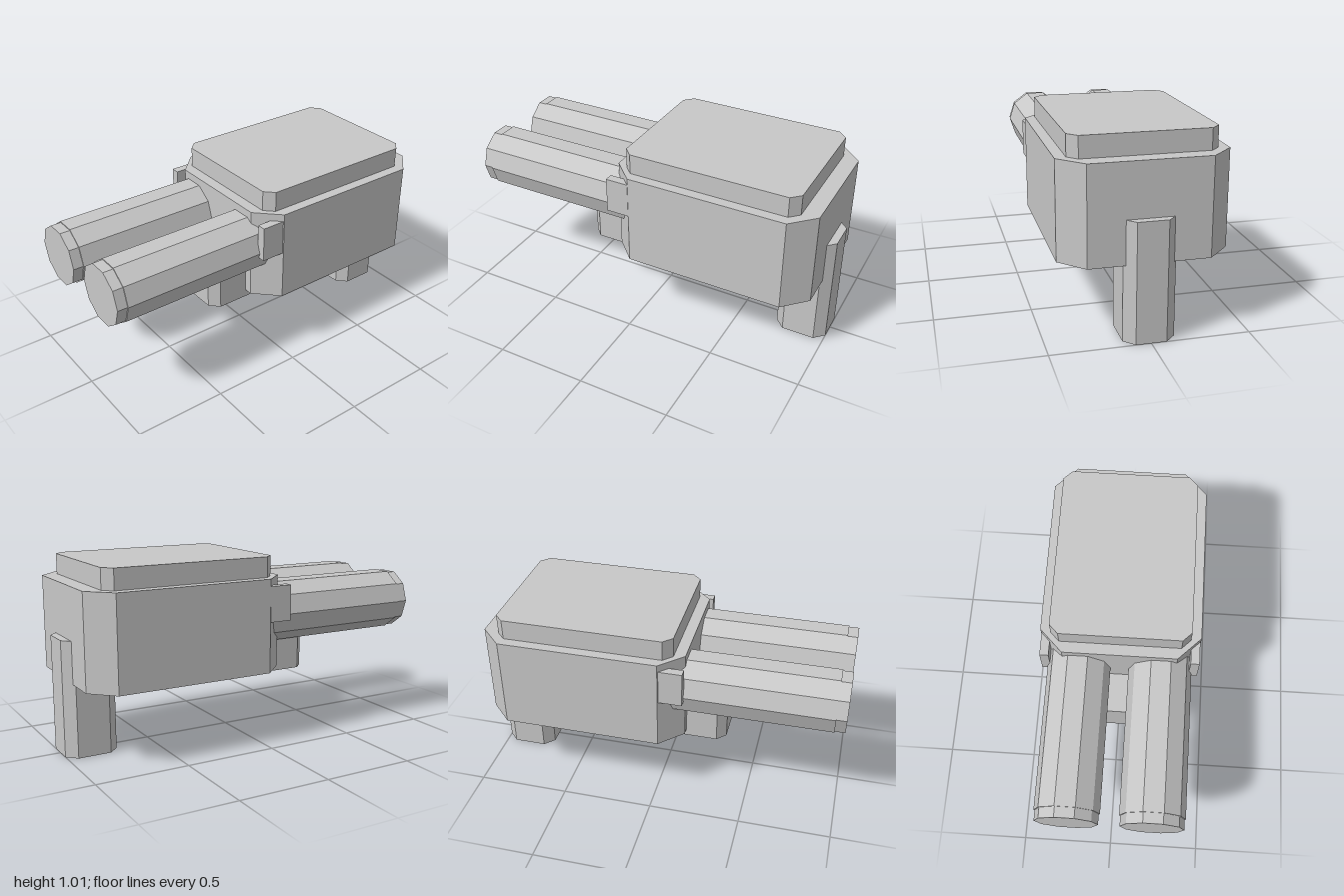
import * as THREE from 'three';

export function createModel() {
  const group = new THREE.Group();
  const grey = new THREE.MeshStandardMaterial({ color: 0xc8c8c8, flatShading: true });
  grey.name = 'plain grey';

  function add(name, geometry) {
    const mesh = new THREE.Mesh(geometry, grey);
    mesh.name = name;
    group.add(mesh);
    return mesh;
  }

  // Upright block with its four vertical edges cut off
  function chamferedBlock(name, halfX, y0, y1, zBack, zFront, cut) {
    const a = halfX, c = cut;
    const shape = new THREE.Shape([
      [a - c, -zFront], [a, -zFront + c], [a, -zBack - c], [a - c, -zBack],
      [c - a, -zBack], [-a, -zBack - c], [-a, -zFront + c], [c - a, -zFront],
    ].map(([x, y]) => new THREE.Vector2(x, y)));
    const geometry = new THREE.ExtrudeGeometry(shape, { depth: y1 - y0, bevelEnabled: false });
    geometry.rotateX(-Math.PI / 2).translate(0, y0, 0);
    return add(name, geometry);
  }

  // Ten-sided rod along z, with flats at top and bottom
  function rod(name, x, radius, zBack, zFront) {
    const geometry = new THREE.CylinderGeometry(radius, radius, zFront - zBack, 10);
    geometry.rotateY(Math.PI / 2).rotateX(Math.PI / 2);
    geometry.translate(x, 0.695, (zBack + zFront) / 2);
    return add(name, geometry);
  }

  // Stacked blocks
  chamferedBlock('body', 0.426, 0.394, 0.9, -0.958, 0.152, 0.122);
  chamferedBlock('topPlate', 0.37, 0.9, 1.01, -0.87, 0.092, 0.048);
  chamferedBlock('frontUnderBlock', 0.26, 0.353, 0.598, -0.04, 0.368, 0.048);
  chamferedBlock('rearHandle', 0.13, 0, 0.62, -1, -0.715, 0.053);

  // Paired barrels and side tabs
  for (const [side, s] of [['left', 1], ['right', -1]]) {
    rod(side + 'Barrel', s * 0.22, 0.171, 0, 0.945);
    rod(side + 'BarrelTip', s * 0.22, 0.165, 0.9, 1);
    const tab = add(side + 'Tab', new THREE.BoxGeometry(0.047, 0.192, 0.14));
    tab.position.set(s * 0.3985, 0.764, 0.09);
  }

  return group;
}
